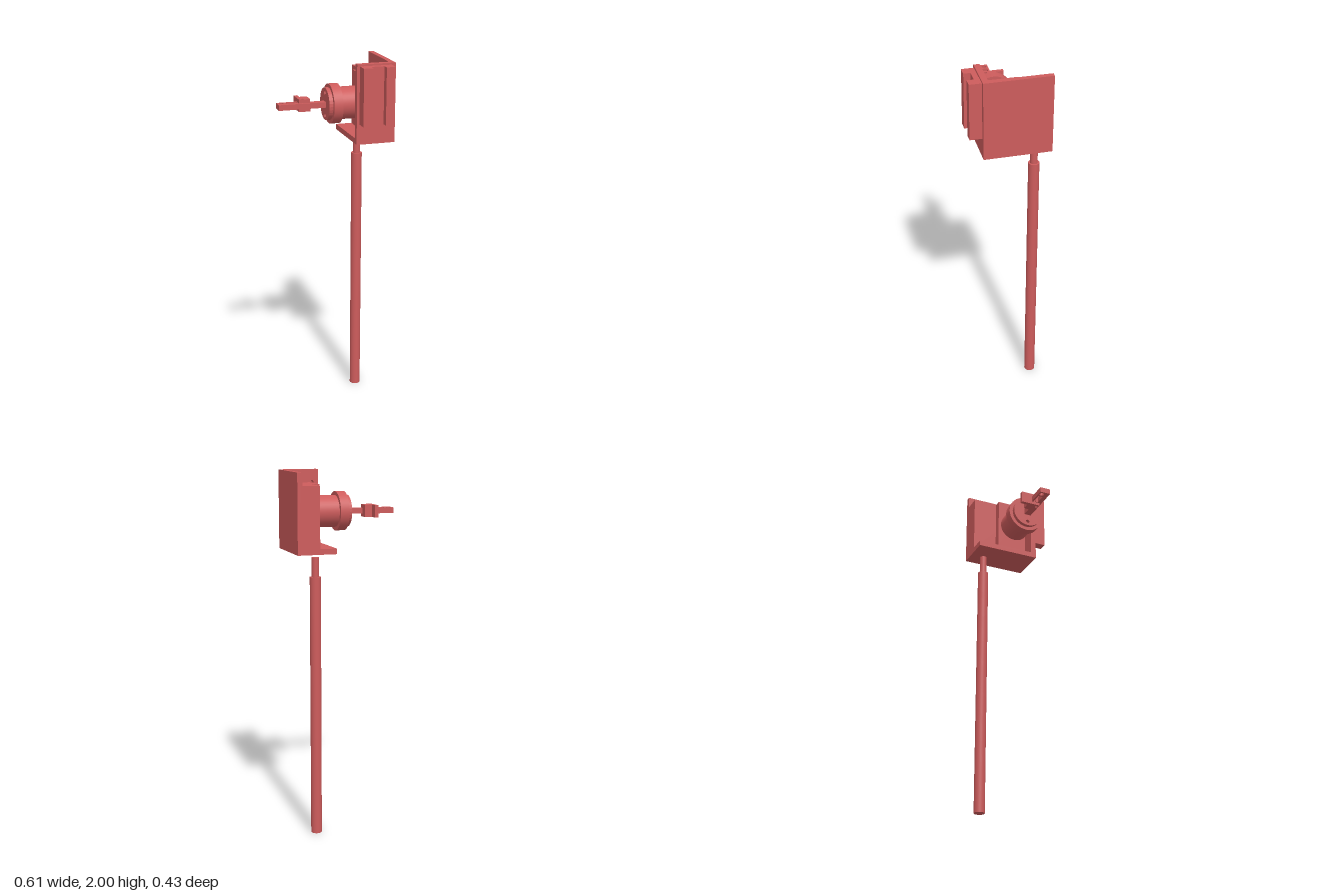
import * as THREE from 'three';

export function createModel() {
  const model = new THREE.Group();
  const material = new THREE.MeshStandardMaterial({ color: 0xcd5c5c });

  const add = (name, geometry) => {
    const mesh = new THREE.Mesh(geometry, material);
    mesh.name = name;
    model.add(mesh);
    return mesh;
  };
  // Box given by its limits on each axis
  const box = (name, x0, x1, y0, y1, z0, z1) =>
    add(name, new THREE.BoxGeometry(x1 - x0, y1 - y0, z1 - z0)
      .translate((x0 + x1) / 2, (y0 + y1) / 2, (z0 + z1) / 2));
  const circle = (x, y, r) => new THREE.Path().absarc(x, y, r, 0, Math.PI * 2, true);
  const extrude = (shape, depth) =>
    new THREE.ExtrudeGeometry(shape, { depth, bevelEnabled: false, curveSegments: 16 });
  // Plan outline of [x, z] points raised from y0 to y1
  const toPlan = (points) => points.map(([x, z]) => new THREE.Vector2(x, -z));
  const plan = (name, points, y0, y1, holes = []) => {
    const shape = new THREE.Shape(toPlan(points));
    shape.holes.push(...holes);
    return add(name, extrude(shape, y1 - y0).rotateX(-Math.PI / 2).translate(0, y0, 0));
  };

  // Stand: rod with a thinner tip just below the housing
  const rod = (name, r, y0, y1) =>
    add(name, new THREE.CylinderGeometry(r, r, y1 - y0, 32).translate(0.19, (y0 + y1) / 2, -0.15));
  rod('standRod', 0.03, 0, 1.445);
  rod('standTip', 0.02, 1.445, 1.55);

  // Housing: floor, side wall and a front wall with two screw holes
  box('housingFloor', 0.09, 0.277, 1.57, 1.6, -0.215, 0.115);
  box('sideWall', 0.277, 0.305, 1.57, 2, -0.215, 0.115);
  const wall = new THREE.Shape([[0.09, 1.57], [0.305, 1.57], [0.305, 2], [0.09, 2]]
    .map(([x, y]) => new THREE.Vector2(x, y)));
  for (const x of [0.125, 0.255]) wall.holes.push(circle(x, 1.93, 0.01));
  add('frontWall', extrude(wall, 0.032).translate(0, 0, 0.115));

  // Channel rail on the front wall
  plan('frontRail', [[0.105, 0.147], [0.105, 0.213], [0.157, 0.213], [0.157, 0.176],
    [0.23, 0.176], [0.23, 0.213], [0.28, 0.213], [0.28, 0.147]], 1.68, 1.99);

  // Inner block and the plate that carries the motor
  box('innerBlock', 0.182, 0.277, 1.6, 1.93, -0.215, 0.115);
  box('motorPlate', 0.14, 0.182, 1.63, 1.93, -0.075, 0.1);

  // Motor: stepped drum lying along x
  const motorY = 1.777, motorZ = 0.027;
  const drum = (name, r, x0, x1) =>
    add(name, new THREE.CylinderGeometry(r, r, x1 - x0, 40).rotateZ(Math.PI / 2)
      .translate((x0 + x1) / 2, motorY, motorZ));
  drum('motorDrum', 0.087, 0.021, 0.14);
  drum('motorCollar', 0.107, -0.029, 0.021);
  // Face disc with two screw holes
  const face = new THREE.Shape().absarc(0, 0, 0.087, 0, Math.PI * 2, false);
  for (const side of [-1, 1]) face.holes.push(circle(0, side * 0.062, 0.011));
  add('motorFace', extrude(face, 0.021).rotateY(-Math.PI / 2).translate(-0.029, motorY, motorZ));

  // Flat arm with a round eye and a slot
  const slot = new THREE.Path(toPlan([[-0.262, -0.005], [-0.18, -0.005], [-0.18, 0.006],
    [-0.2, 0.006], [-0.2, 0.021], [-0.262, 0.021]]));
  plan('arm', [[-0.308, 0.046], [-0.05, 0.046], [-0.05, 0.006], [-0.165, 0.006],
    [-0.165, -0.015], [-0.308, -0.015]], 1.76, 1.79, [circle(-0.285, -0.005, 0.013), slot,
    circle(-0.174, -0.023, 0.008)]);

  // Clip around the arm with a finger to the rear
  plan('armClip', [[-0.195, 0.034], [-0.133, 0.034], [-0.133, -0.035], [-0.174, -0.035],
    [-0.174, -0.077], [-0.195, -0.077]], 1.743, 1.81, [circle(-0.174, -0.023, 0.008)]);

  return model;
}
